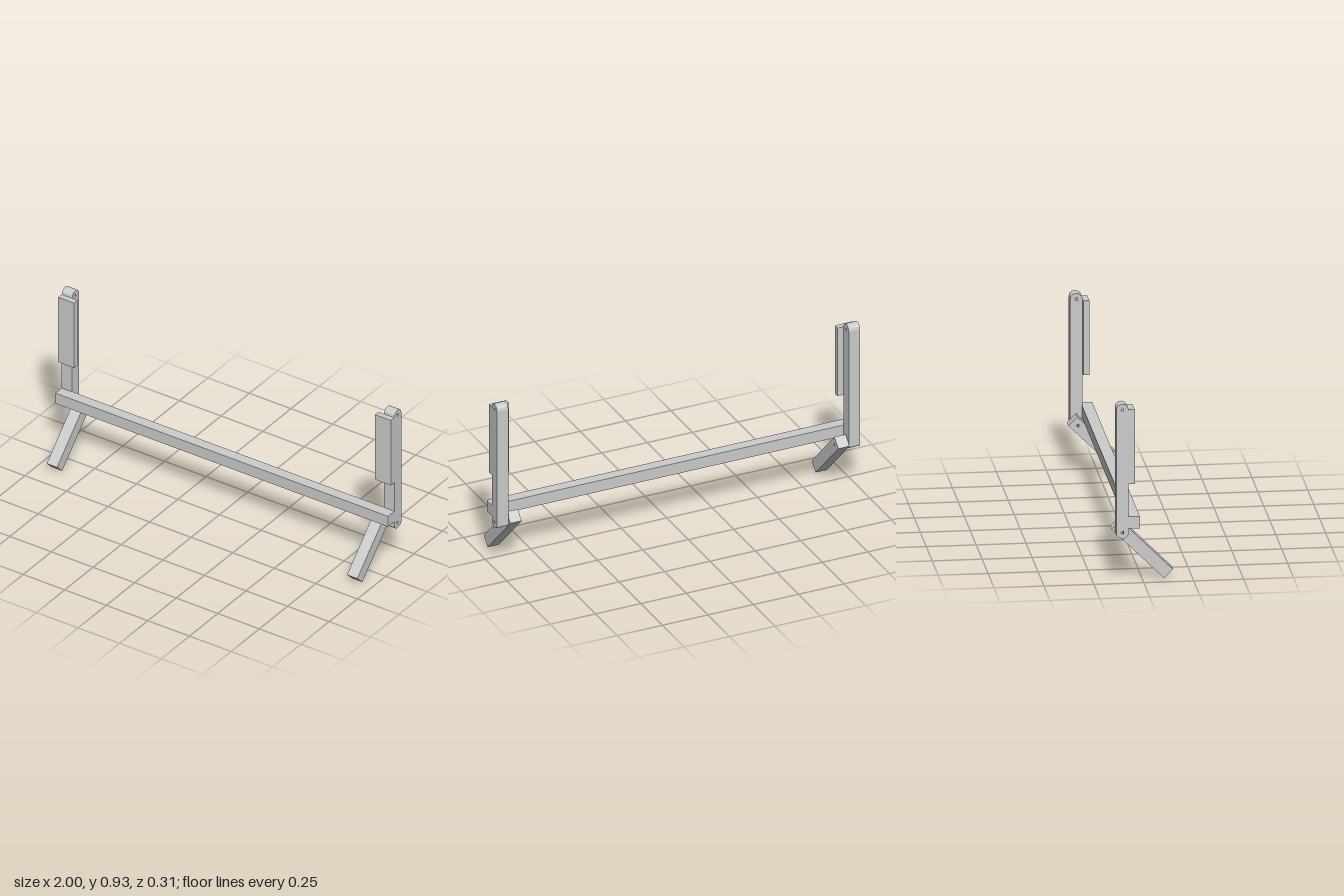
import * as THREE from 'three';

const material = new THREE.MeshStandardMaterial({ color: 0xcccccc, flatShading: true });

// Box given by its min and max corners
function box(name, [x0, y0, z0], [x1, y1, z1]) {
  const mesh = new THREE.Mesh(new THREE.BoxGeometry(x1 - x0, y1 - y0, z1 - z0), material);
  mesh.position.set((x0 + x1) / 2, (y0 + y1) / 2, (z0 + z1) / 2);
  mesh.name = name;
  return mesh;
}

// Small three-sided pivot hole around (z, y)
function pivotHole(z, y, turn) {
  const points = [0, 1, 2].map((i) => {
    const a = turn + (i * Math.PI * 2) / 3;
    return new THREE.Vector2(z + 0.01 * Math.cos(a), y + 0.01 * Math.sin(a));
  });
  return new THREE.Path(points);
}

// Side profile in (z, y), extruded across x from x0 to x1
function profilePart(name, points, holes, x0, x1) {
  const shape = new THREE.Shape(points.map(([z, y]) => new THREE.Vector2(z, y)));
  shape.holes.push(...holes);
  const geometry = new THREE.ExtrudeGeometry(shape, { depth: x1 - x0, bevelEnabled: false });
  geometry.rotateY(-Math.PI / 2).translate(x1, 0, 0);
  const mesh = new THREE.Mesh(geometry, material);
  mesh.name = name;
  return mesh;
}

export function createModel() {
  const model = new THREE.Group();
  model.name = 'foldingFrame';

  // Long horizontal rail joining both sides
  model.add(box('crossRail', [-1, 0.283, -0.078], [1, 0.345, -0.02]));

  // Post outline: faceted rounding at the top and bottom pivots
  const pivotZ = -0.107;
  const postOutline = [[-0.138, 0.25], [-0.133, 0.241], [-0.1, 0.23], [-0.084, 0.24], [-0.076, 0.252]];
  for (let i = 0; i <= 6; i++) {
    const a = (i * Math.PI) / 6;
    postOutline.push([pivotZ + 0.031 * Math.cos(a), 0.9 + 0.03 * Math.sin(a)]);
  }

  // Leg outline: bar leaning forward at 45 degrees
  const legOutline = [[0.109, 0], [0.154, 0.045], [-0.109, 0.308], [-0.154, 0.263]];

  for (const [side, s] of [['left', 1], ['right', -1]]) {
    const half = new THREE.Group();
    half.name = `${side}Side`;
    // Order the x limits after mirroring
    const span = (a, b) => (s > 0 ? [a, b] : [-b, -a]);

    const [p0, p1] = span(0.938, 1);
    half.add(profilePart('post', postOutline,
      [pivotHole(pivotZ, 0.9, 1.4), pivotHole(pivotZ, 0.263, Math.PI / 3)], p0, p1));

    // Wider pad on the front of the post
    const [a0, a1] = span(0.905, 1);
    half.add(box('frontPad', [a0, 0.515, -0.076], [a1, 0.9, -0.045]));

    const [l0, l1] = span(0.872, 0.934);
    half.add(profilePart('leg', legOutline, [pivotHole(pivotZ, 0.263, Math.PI / 3)], l0, l1));

    model.add(half);
  }
  return model;
}
